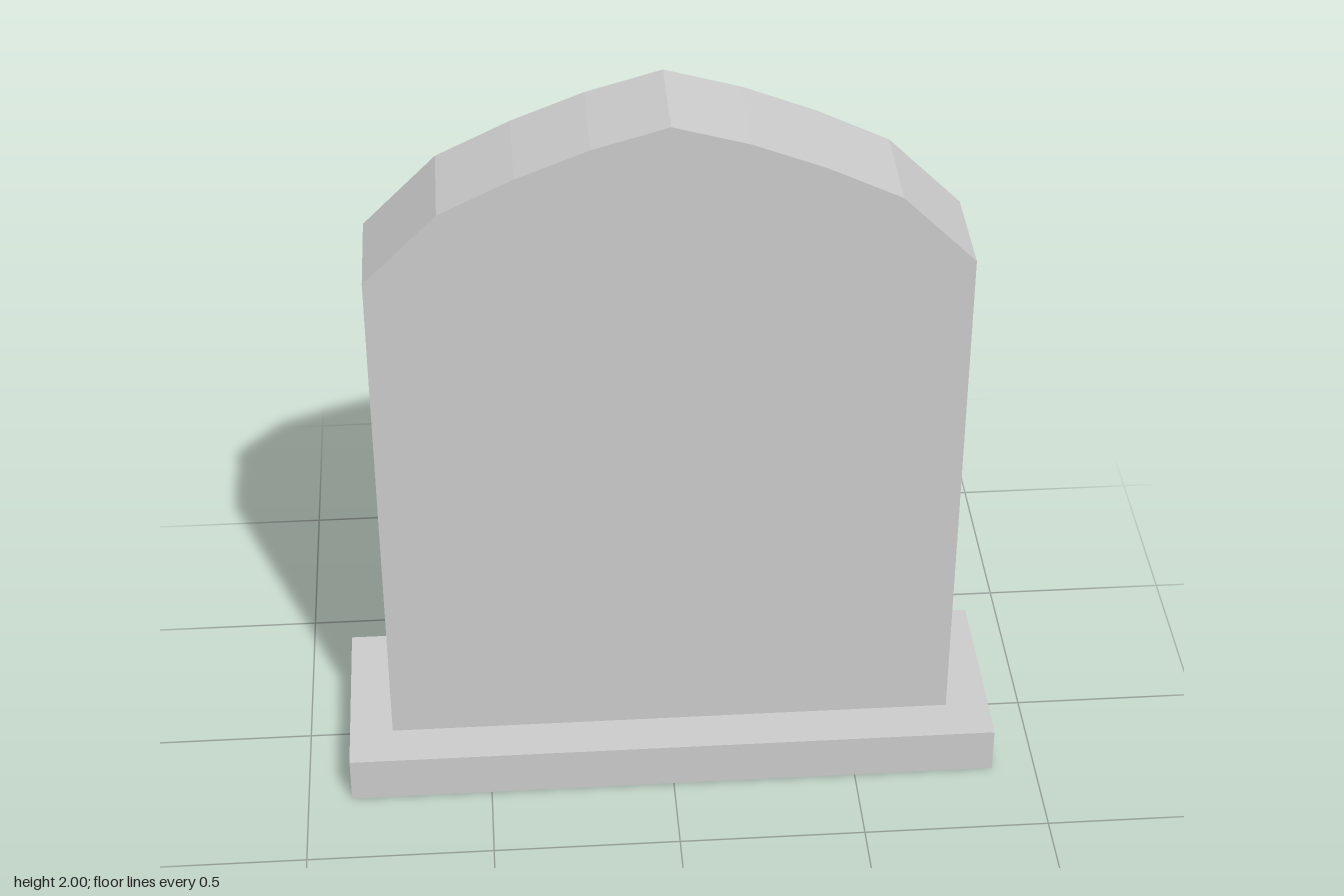
import * as THREE from 'three';

const BASE_HEIGHT = 0.13;
const SLAB_DEPTH = 0.287;

export function createModel() {
  const group = new THREE.Group();
  const material = new THREE.MeshStandardMaterial({ color: 0xcccccc, flatShading: true });

  // Plinth
  const base = new THREE.Mesh(new THREE.BoxGeometry(1.764, BASE_HEIGHT, 0.535), material);
  base.name = 'base';
  base.position.y = BASE_HEIGHT / 2;
  group.add(base);

  // Upright slab: right half of the outline from foot to shoulder to peak, mirrored
  const half = [[0.765, BASE_HEIGHT], [0.765, 1.585], [0.574, 1.777], [0.383, 1.87], [0.196, 1.944]];
  const outline = [
    ...half,
    [0, 2],
    ...half.map(([x, y]) => [-x, y]).reverse(),
  ].map(([x, y]) => new THREE.Vector2(x, y));
  const slabGeometry = new THREE.ExtrudeGeometry(new THREE.Shape(outline), {
    depth: SLAB_DEPTH,
    bevelEnabled: false,
  });
  slabGeometry.translate(0, 0, -SLAB_DEPTH / 2);
  const slab = new THREE.Mesh(slabGeometry, material);
  slab.name = 'slab';
  group.add(slab);

  return group;
}
